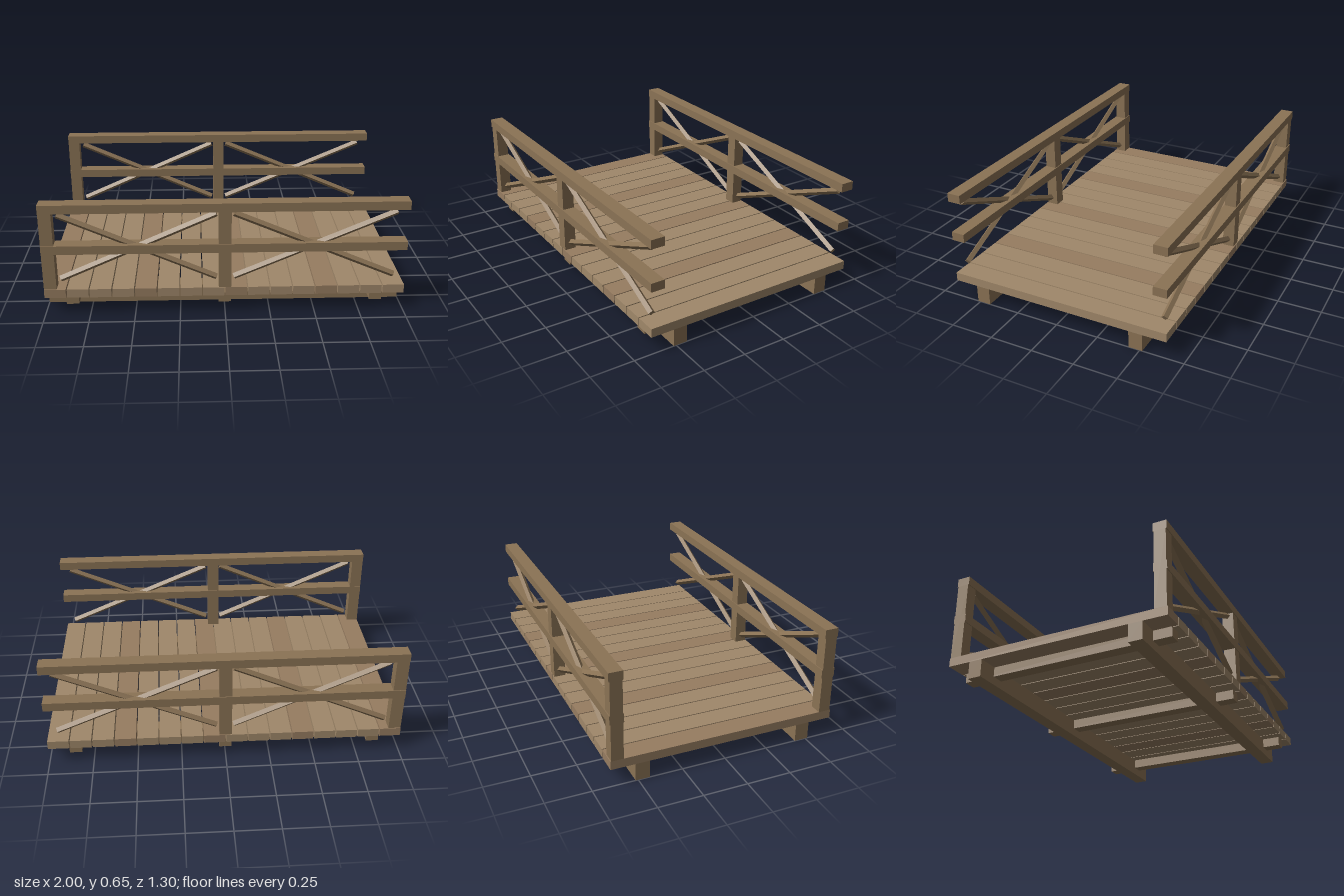
import * as THREE from 'three';

const wood = new THREE.MeshStandardMaterial({ color: 0x8b7355, flatShading: true });
const plankLight = new THREE.MeshStandardMaterial({ color: 0xa0886a, flatShading: true });
const plankDark = new THREE.MeshStandardMaterial({ color: 0x977d61, flatShading: true });

// Box given by its centre x and z, its bottom and top, and its width and depth
function beam(name, x, z, y0, y1, width, depth, material = wood) {
  const mesh = new THREE.Mesh(new THREE.BoxGeometry(width, y1 - y0, depth), material);
  mesh.position.set(x, (y0 + y1) / 2, z);
  mesh.name = name;
  return mesh;
}

// Four-sided bar between two points, edges facing up, down and sideways
function brace(x0, y0, x1, y1) {
  const length = Math.hypot(x1 - x0, y1 - y0);
  const mesh = new THREE.Mesh(new THREE.CylinderGeometry(0.0185, 0.0185, length, 4), wood);
  mesh.position.set((x0 + x1) / 2, (y0 + y1) / 2, 0);
  mesh.rotation.z = Math.atan2(y1 - y0, x1 - x0) - Math.PI / 2;
  mesh.name = 'diagonalBrace';
  return mesh;
}

// Railing: open at the +x end so that sections can be joined
function railing(z) {
  const group = new THREE.Group();
  group.name = 'railing';
  group.position.z = z;
  group.add(beam('topRail', 0, 0, 0.6, 0.65, 2, 0.078));
  group.add(beam('middleRail', 0, 0, 0.362, 0.412, 2, 0.078));
  group.add(beam('endPost', -0.965, 0, 0.15, 0.6, 0.07, 0.068));
  group.add(beam('middlePost', 0, 0, 0.15, 0.6, 0.07, 0.068));
  for (const [left, right] of [[-0.907, -0.047], [0.05, 0.94]]) {
    group.add(brace(left, 0.2, right, 0.58), brace(left, 0.58, right, 0.2));
  }
  return group;
}

export function createModel() {
  const model = new THREE.Group();
  model.name = 'woodenBridge';

  // Deck of planks, every fourth one darker
  const count = 16, plankWidth = 0.119;
  const pitch = (2 - plankWidth) / (count - 1);
  for (let i = 0; i < count; i++) {
    const x = -1 + plankWidth / 2 + i * pitch;
    model.add(beam('plank', x, 0, 0.1, 0.15, plankWidth, 1.3, i % 4 ? plankLight : plankDark));
  }

  // Long bearers and railings on both sides
  for (const side of [1, -1]) {
    model.add(beam('bearer', 0, side * 0.475, 0, 0.1, 2, 0.08));
    model.add(railing(side * 0.611));
  }

  // Cross beams under the deck
  for (const x of [-0.85, 0, 0.85]) {
    model.add(beam('crossBeam', x, 0, 0.045, 0.1, 0.07, 1.24));
  }
  return model;
}
